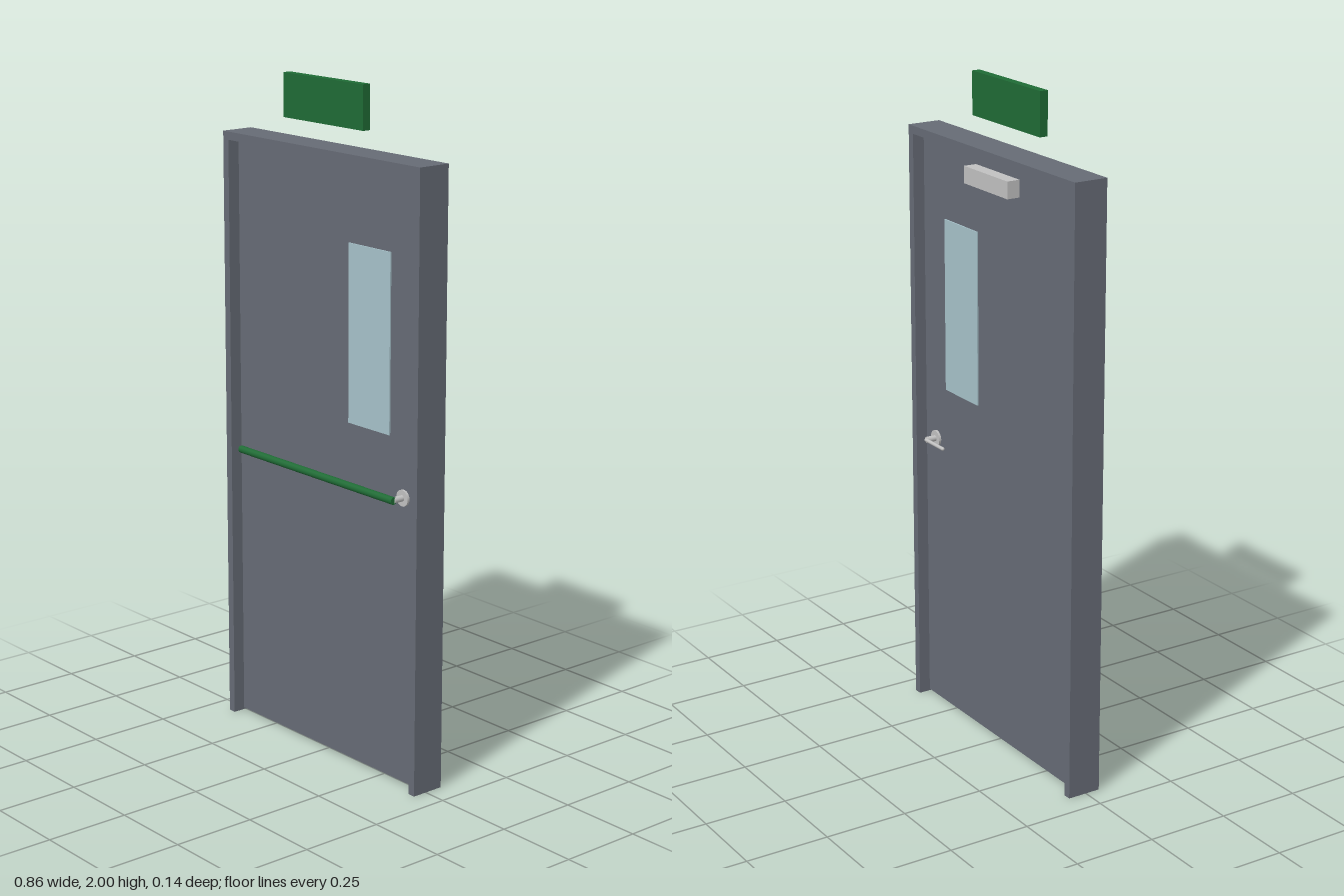
import * as THREE from 'three';

export function createModel() {
  const model = new THREE.Group();
  model.name = 'emergencyExitDoor';

  const material = (name, color) => new THREE.MeshStandardMaterial({ name, color });
  const paint = material('grey paint', 0x666b75);
  const green = material('safety green', 0x1f6b35);
  const glass = material('pale glass', 0xa6c1c9);
  const steel = material('brushed steel', 0xc0c0c0);
  const hingeSteel = material('dark hinge steel', 0x77766f);

  const add = (name, geometry, mat) => {
    const mesh = new THREE.Mesh(geometry, mat);
    mesh.name = name;
    model.add(mesh);
    return mesh;
  };

  // Box given by its limits on each axis
  const box = (name, [x0, x1], [y0, y1], [z0, z1], mat) =>
    add(name, new THREE.BoxGeometry(x1 - x0, y1 - y0, z1 - z0), mat)
      .position.set((x0 + x1) / 2, (y0 + y1) / 2, (z0 + z1) / 2);

  // Cylinder running between two points
  const rod = (name, from, to, radius, sides, mat) => {
    const a = new THREE.Vector3(...from);
    const b = new THREE.Vector3(...to);
    const mesh = add(name, new THREE.CylinderGeometry(radius, radius, a.distanceTo(b), sides), mat);
    mesh.position.copy(a).add(b).multiplyScalar(0.5);
    mesh.quaternion.setFromUnitVectors(new THREE.Vector3(0, 1, 0), b.sub(a).normalize());
  };

  // Frame: two jambs and a head, open at the floor
  const W = 0.428, H = 1.807, T = 0.024;
  const outline = [[-W, 0], [-W + T, 0], [-W + T, H - T], [W - T, H - T], [W - T, 0], [W, 0], [W, H], [-W, H]];
  const frameShape = new THREE.Shape(outline.map(([x, y]) => new THREE.Vector2(x, y)));
  const frame = new THREE.ExtrudeGeometry(frameShape, { depth: 0.103, bevelEnabled: false });
  add('doorFrame', frame, paint).position.z = -0.058;

  // Door leaf, with a small gap all round, and its vision panel
  const back = -0.026, front = 0.013;
  box('doorLeaf', [-0.397, 0.397], [0.009, 1.776], [back, front], paint);
  box('windowPane', [0.103, 0.279], [1.032, 1.552], [back - 0.004, front + 0.004], glass);

  // Hinges in the gap on the right-hand jamb
  for (const y of [0.217, 0.885, 1.58]) {
    box('hinge', [-0.407, -0.395], [y - 0.042, y + 0.042], [-0.05, -0.02], hingeSteel);
  }

  // Push bar across the front
  const lockX = 0.338, lockY = 0.863;
  rod('pushBar', [-0.345, lockY, 0.055], [0.343, lockY, 0.055], 0.011, 16, green);

  // Lock: a rosette on each face, the spindle through the leaf, the lever at the back
  rod('frontRosette', [lockX, lockY, front], [lockX, lockY, front + 0.007], 0.024, 24, steel);
  rod('backRosette', [lockX, lockY, back - 0.007], [lockX, lockY, back], 0.024, 24, steel);
  rod('spindle', [lockX, lockY, -0.064], [lockX, lockY, 0.052], 0.009, 16, steel);
  const lever = add('leverHandle', new THREE.CapsuleGeometry(0.0055, 0.095, 4, 12), steel);
  lever.rotation.z = Math.PI / 2;
  lever.position.set(0.29, lockY, -0.0645);

  // Door closer at the top of the back
  box('doorCloser', [-0.112, 0.112], [1.697, 1.747], [-0.066, back], steel);

  // Blank sign above the door
  box('exitSign', [-0.173, 0.172], [1.873, 2], [0, 0.025], green);

  return model;
}
